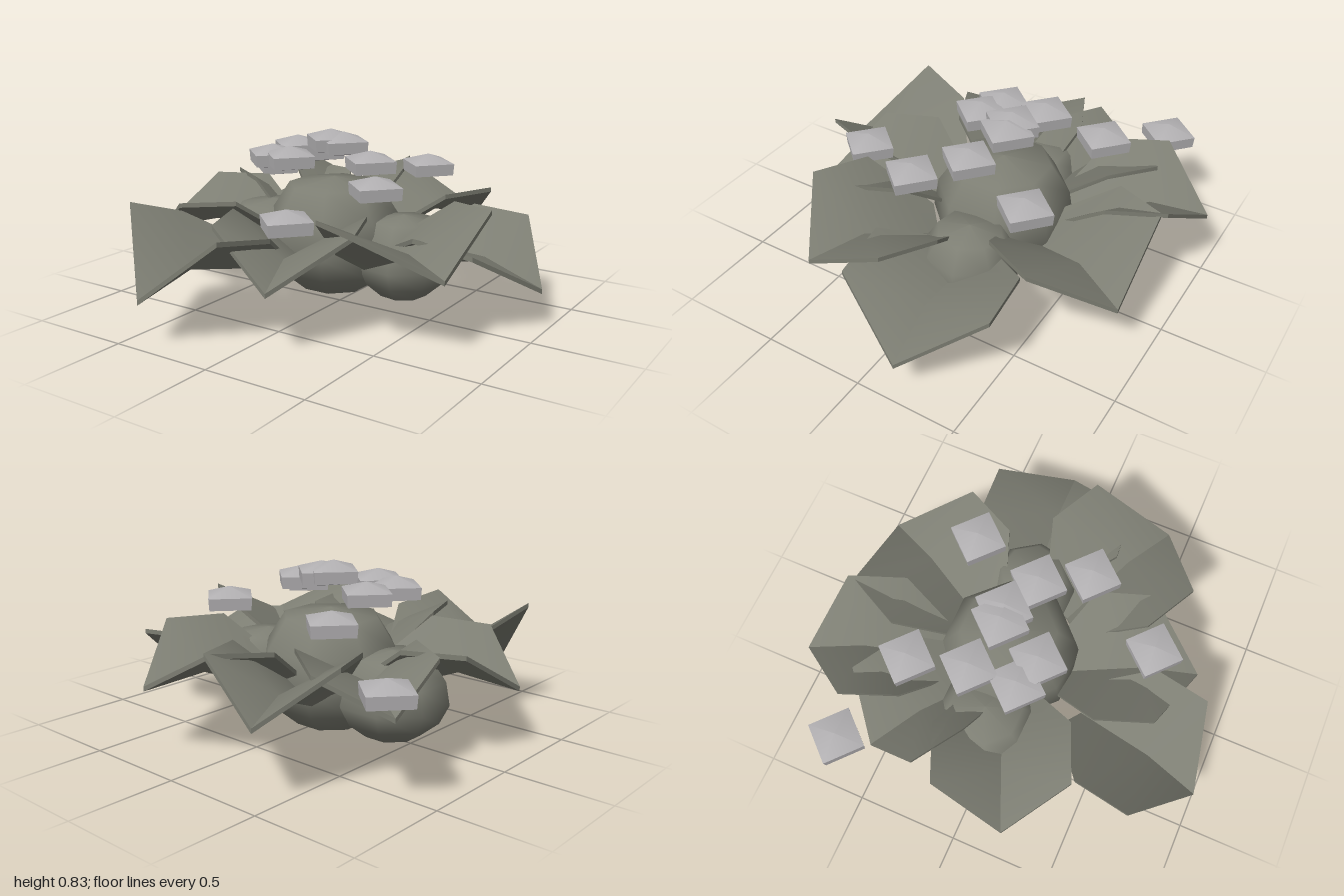
import * as THREE from 'three';
import { toCreasedNormals } from 'three/addons/utils/BufferGeometryUtils.js';

const leafMat = new THREE.MeshStandardMaterial({ color: 0x7d7e73 });
const flowerMat = new THREE.MeshStandardMaterial({ color: 0xb4b2b4 });
const V = (x, y, z) => new THREE.Vector3(x, y, z);

// Rounded low-poly lump, standing at height y
function lump(name, x, y, z, radius, height, turn) {
  const profile = [[0, 0], [0.5, 0.08], [0.83, 0.24], [1, 0.45], [0.93, 0.7], [0.66, 0.94], [0, 1]];
  const geo = new THREE.LatheGeometry(profile.map(([r, h]) => new THREE.Vector2(r * radius, h * height)), 8);
  const mesh = new THREE.Mesh(geo, leafMat);
  mesh.name = name;
  mesh.position.set(x, y, z);
  mesh.rotation.y = turn;
  return mesh;
}

// Thin arched leaf folded along its middle: a and b are the raised outer corners
function leaf(a, tip, b) {
  const side = V(b.x - a.x, 0, b.z - a.z).normalize();
  const dir = V(-side.z, 0, side.x);
  const root = tip.clone().addScaledVector(dir, -0.66).setY(0.24);
  const middle = root.clone().lerp(tip, 0.58).add(V(0, 0.09, 0));
  const rootCorner = (s) => root.clone().addScaledVector(side, s * 0.13).addScaledVector(dir, -0.04).add(V(0, 0.08, 0));
  const midCorner = (p) => p.clone().addScaledVector(dir, -0.28).setY(middle.y + 0.15);
  const grid = [
    rootCorner(-1), root, rootCorner(1),
    midCorner(a), middle, midCorner(b),
    a, tip, b,
  ];
  const low = grid.map((p) => p.clone().add(V(0, -0.022, 0)));
  const index = [];
  // Upper and lower skins, panels split symmetrically about the fold
  for (let i = 0; i < 2; i++) {
    for (let j = 0; j < 2; j++) {
      const p = i * 3 + j, q = p + 3;
      const tris = j === 0
        ? [p, q, p + 1, q, q + 1, p + 1]
        : [p, q, q + 1, p, q + 1, p + 1];
      index.push(...tris);
      for (let k = 0; k < 6; k += 3) index.push(tris[k] + 9, tris[k + 2] + 9, tris[k + 1] + 9);
    }
  }
  // Rim
  const loop = [0, 3, 6, 7, 8, 5, 2, 1];
  loop.forEach((p, k) => {
    const q = loop[(k + 1) % loop.length];
    index.push(p, p + 9, q, q, p + 9, q + 9);
  });
  const geo = new THREE.BufferGeometry().setFromPoints([...grid, ...low]);
  geo.setIndex(index);
  return new THREE.Mesh(toCreasedNormals(geo, 0.65), leafMat);
}

export function createModel() {
  const model = new THREE.Group();

  // Plant body
  model.add(
    lump('mainLump', -0.09, 0, -0.09, 0.345, 0.6, Math.PI / 8),
    lump('rightLump', -0.435, 0.02, -0.06, 0.265, 0.43, Math.PI / 8),
    lump('leftLump', 0.28, 0.02, -0.13, 0.235, 0.43, 0.2),
  );

  // Ring of leaves: corner, tip, corner
  const leaves = new THREE.Group();
  leaves.name = 'leaves';
  [
    [V(-0.66, 0.56, 0.73), V(-0.38, 0.22, 0.99), V(-0.02, 0.51, 0.88)],
    [V(-0.21, 0.51, 0.69), V(0.16, 0.3, 0.8), V(0.38, 0.5, 0.47)],
    [V(0.45, 0.56, 0.63), V(0.78, 0.36, 0.41), V(0.79, 0.57, 0)],
    [V(0.8, 0.41, 0.2), V(0.97, 0.19, -0.18), V(0.75, 0.43, -0.52)],
    [V(0.53, 0.53, -0.56), V(0.3, 0.32, -0.89), V(-0.13, 0.55, -0.88)],
    [V(-0.13, 0.56, -0.91), V(-0.48, 0.35, -0.99), V(-0.67, 0.56, -0.69)],
    [V(-0.52, 0.5, -0.7), V(-0.79, 0.33, -0.5), V(-0.82, 0.53, -0.25)],
    [V(-0.87, 0.52, -0.13), V(-0.92, 0.31, 0.23), V(-0.62, 0.5, 0.45)],
  ].forEach(([a, tip, b], i) => {
    const mesh = leaf(a, tip, b);
    mesh.name = `leaf${i + 1}`;
    leaves.add(mesh);
  });
  model.add(leaves);

  // Four-sided flower heads with a shallow peaked top: x, base y, z
  const flowers = new THREE.Group();
  flowers.name = 'flowers';
  const headProfile = [[0, 0], [0.135, 0.022], [0.14, 0.078], [0, 0.118]];
  const headGeo = toCreasedNormals(
    new THREE.LatheGeometry(headProfile.map(([r, h]) => new THREE.Vector2(r, h)), 4), 0.65);
  [
    [0.1, 0.48, 0.565], [0.3, 0.575, 0.17], [0.26, 0.58, -0.4], [0.145, 0.64, -0.04],
    [-0.06, 0.7, -0.12], [-0.125, 0.71, -0.11], [-0.21, 0.65, 0.11], [-0.36, 0.65, -0.16],
    [-0.35, 0.64, 0.065], [-0.41, 0.58, -0.45], [-0.84, 0.42, -0.62],
  ].forEach(([x, y, z], i) => {
    const head = new THREE.Mesh(headGeo, flowerMat);
    head.name = `flowerHead${i + 1}`;
    head.position.set(x, y, z);
    head.rotation.y = 0.05;
    flowers.add(head);
  });
  model.add(flowers);

  return model;
}
